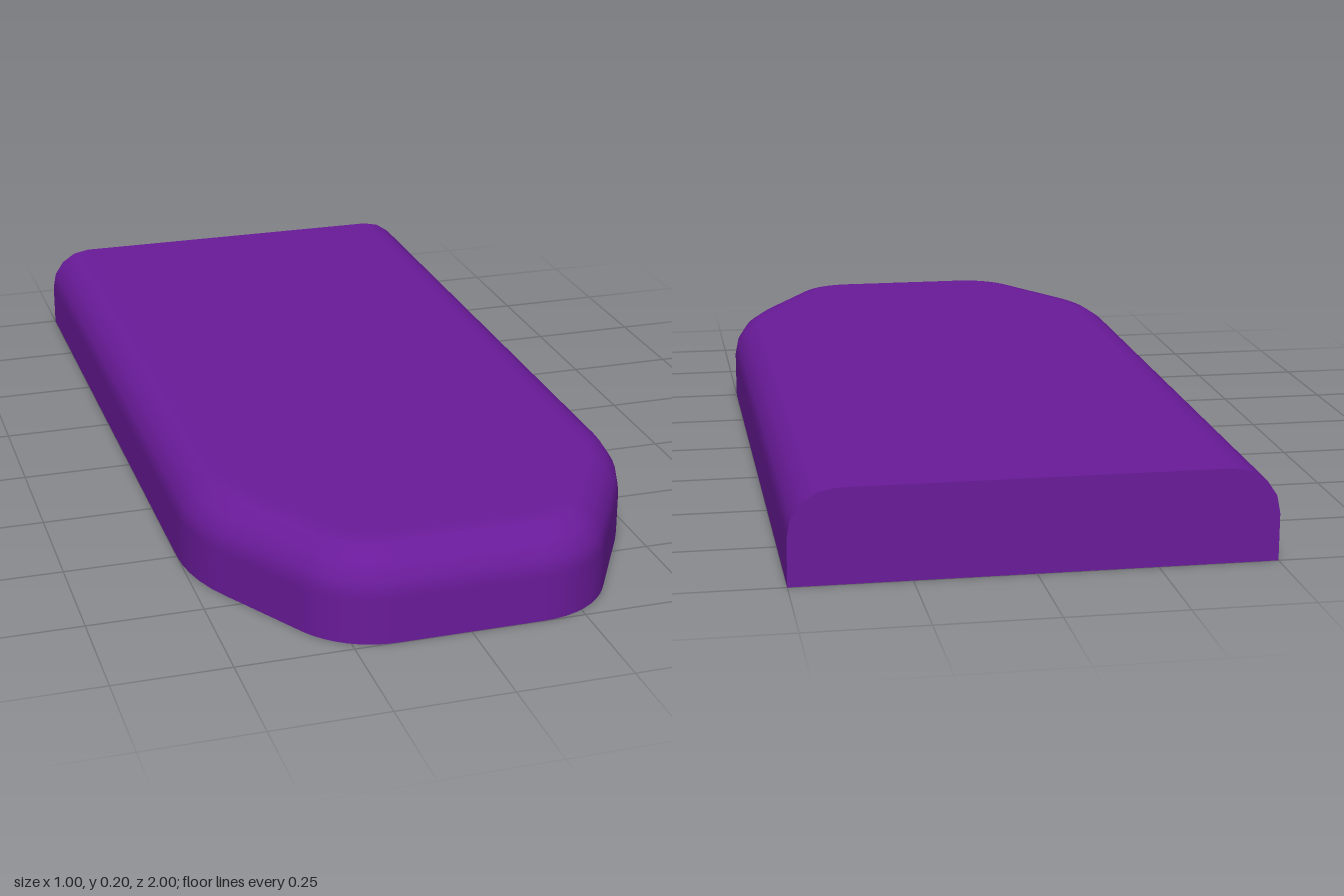
import * as THREE from 'three';

const EDGE = 0.1, HEIGHT = 0.2, BACK = -1;

// Plan outline of the right half: arc centres, radii and outward angles
const outline = [{ x: 0.1, z: BACK, r: 0.4, a: 0 }];
function addArc(x, z, r, from, to, steps) {
  for (let i = 0; i <= steps; i++) {
    outline.push({ x, z, r, a: THREE.MathUtils.degToRad(from + (to - from) * i / steps) });
  }
}
addArc(0.1, 0.5, 0.4, 0, 30, 5);
addArc(0.158, 0.8, 0.2, 30, 90, 8);
// Mirror to the other half
outline.push(...outline.map(p => ({ ...p, x: -p.x, a: Math.PI - p.a })).reverse());

// Edge profile: straight wall, then a quarter round up to the top
const profile = [{ inset: 0, y: 0, tilt: 0 }];
for (let i = 0; i <= 4; i++) {
  const tilt = i / 4 * Math.PI / 2;
  profile.push({ inset: EDGE * (1 - Math.cos(tilt)), y: HEIGHT - EDGE + EDGE * Math.sin(tilt), tilt });
}

const planPoint = (p, inset) => new THREE.Vector2(
  p.x + (p.r - inset) * Math.cos(p.a),
  p.z + (p.r - inset) * Math.sin(p.a));

// Rounded side surface swept around the outline
function rimGeometry() {
  const positions = [], normals = [], indices = [], n = outline.length;
  profile.forEach(({ inset, y, tilt }, j) => outline.forEach((p, i) => {
    const q = planPoint(p, inset);
    positions.push(q.x, y, q.y);
    normals.push(Math.cos(p.a) * Math.cos(tilt), Math.sin(tilt), Math.sin(p.a) * Math.cos(tilt));
    if (j < profile.length - 1 && i < n - 1) {
      const a = j * n + i, b = a + 1, c = a + n, d = c + 1;
      indices.push(a, c, b, b, c, d);
    }
  }));
  const g = new THREE.BufferGeometry();
  g.setAttribute('position', new THREE.Float32BufferAttribute(positions, 3));
  g.setAttribute('normal', new THREE.Float32BufferAttribute(normals, 3));
  g.setIndex(indices);
  return g;
}

const flat = points => new THREE.ShapeGeometry(new THREE.Shape(points));

export function createModel() {
  const group = new THREE.Group();
  group.name = 'taperedSlab';
  const material = new THREE.MeshStandardMaterial({ color: 0x6a1b9a });
  const add = (name, geometry) => {
    const mesh = new THREE.Mesh(geometry, material);
    mesh.name = name;
    group.add(mesh);
  };

  add('roundedRim', rimGeometry());

  // Flat top inside the rounded edge
  const top = outline.map(p => planPoint(p, EDGE)).map(q => new THREE.Vector2(q.x, -q.y));
  add('topFace', flat(top).rotateX(-Math.PI / 2).translate(0, HEIGHT, 0));

  // Flat underside
  add('underside', flat(outline.map(p => planPoint(p, 0))).rotateX(Math.PI / 2));

  // Square-cut back end
  const right = profile.map(p => new THREE.Vector2(0.5 - p.inset, p.y));
  const left = right.map(p => new THREE.Vector2(-p.x, p.y)).reverse();
  add('backFace', flat([...right, ...left]).rotateY(Math.PI).translate(0, 0, BACK));

  return group;
}
